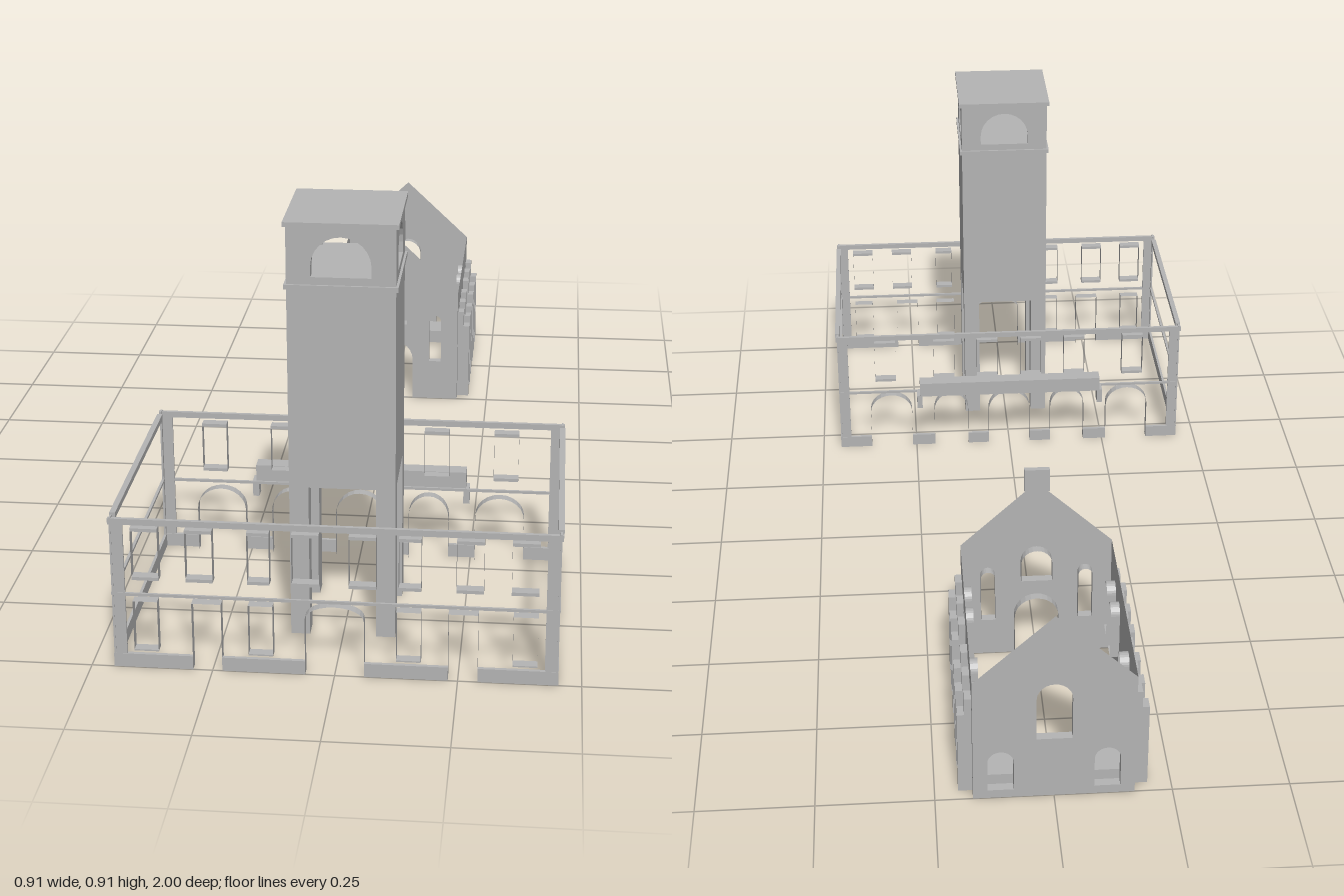
import * as THREE from 'three';

const stone = new THREE.MeshStandardMaterial({ color: 0xb4b4b4 });
stone.name = 'stone';
const thinStone = new THREE.MeshStandardMaterial({ color: 0xb4b4b4, side: THREE.DoubleSide });
thinStone.name = 'stone sheet';

function add(parent, name, geometry, material = stone) {
  const mesh = new THREE.Mesh(geometry, material);
  mesh.name = name;
  parent.add(mesh);
  return mesh;
}

// box given by its limits
function box(parent, name, x0, x1, y0, y1, z0, z1) {
  const mesh = add(parent, name, new THREE.BoxGeometry(x1 - x0, y1 - y0, z1 - z0));
  mesh.position.set((x0 + x1) / 2, (y0 + y1) / 2, (z0 + z1) / 2);
  return mesh;
}

// outline of an opening; rise is the height of its arched head
function outline({ x, y, w, h, rise = w / 2 }) {
  const pts = [new THREE.Vector2(x - w / 2, y), new THREE.Vector2(x + w / 2, y)];
  const n = rise ? 12 : 1;
  for (let i = 0; i <= n; i++) {
    const a = Math.PI * i / n;
    pts.push(new THREE.Vector2(x + w / 2 * Math.cos(a), y + h - rise + rise * Math.sin(a)));
  }
  return pts;
}

// inner faces of an opening, running back from z = 0
function reveal(parent, name, opening, depth, openFoot = false) {
  const pts = outline(opening);
  const pos = [];
  for (let i = openFoot ? 1 : 0; i < pts.length; i++) {
    const a = pts[i], b = pts[(i + 1) % pts.length];
    if (openFoot && i === pts.length - 1 && a.y === b.y) continue;
    pos.push(a.x, a.y, 0, b.x, b.y, 0, b.x, b.y, -depth);
    pos.push(a.x, a.y, 0, b.x, b.y, -depth, a.x, a.y, -depth);
  }
  const geo = new THREE.BufferGeometry();
  geo.setAttribute('position', new THREE.Float32BufferAttribute(pos, 3));
  geo.computeVertexNormals();
  return add(parent, name, geo, thinStone);
}

// wall sheet with openings and their reveals
function wall(parent, name, corners, openings, depth = 0.02) {
  const group = new THREE.Group();
  group.name = name;
  parent.add(group);
  const shape = new THREE.Shape(corners.map(c => new THREE.Vector2(...c)));
  for (const o of openings) shape.holes.push(new THREE.Path(outline(o)));
  add(group, name + 'Face', new THREE.ShapeGeometry(shape), thinStone);
  for (const o of openings) reveal(group, 'reveal', o, depth, o.y < 0.01);
  return group;
}

const rect = (w, y0, y1) => [[-w, y0], [w, y0], [w, y1], [-w, y1]];

function buildChapel() {
  const chapel = new THREE.Group();
  chapel.name = 'chapel';
  const gable = [[-0.17, 0], [0.17, 0], [0.17, 0.3], [0, 0.46], [-0.17, 0.3]];
  wall(chapel, 'frontGable', gable, [
    { x: 0, y: 0.001, w: 0.1, h: 0.16 },
    { x: 0, y: 0.21, w: 0.07, h: 0.08 },
    { x: -0.11, y: 0.107, w: 0.032, h: 0.13 },
    { x: 0.11, y: 0.107, w: 0.032, h: 0.13 }
  ]).position.z = -0.5;
  const back = wall(chapel, 'backGable', gable, [
    { x: 0, y: 0.15, w: 0.075, h: 0.14 },
    { x: -0.112, y: 0.02, w: 0.055, h: 0.1 },
    { x: 0.112, y: 0.02, w: 0.055, h: 0.1 }
  ]);
  back.position.z = -1;
  back.rotation.y = Math.PI;

  // side walls with paired windows, door and stepped buttresses
  const windows = [-0.17, -0.09, 0.09, 0.17].map(x => ({ x, y: 0.11, w: 0.042, h: 0.13 }));
  for (const s of [-1, 1]) {
    const side = wall(chapel, 'sideWall', rect(0.25, 0, 0.3),
      [...windows, { x: 0, y: 0.001, w: 0.062, h: 0.12 }]);
    side.position.set(s * 0.17, 0, -0.75);
    side.rotation.y = s * Math.PI / 2;
    for (const x of [-0.208, -0.128, -0.05, 0.05, 0.128, 0.208]) {
      box(side, 'buttress', x - 0.015, x + 0.015, 0, 0.2, 0, 0.03);
      box(side, 'buttressTop', x - 0.015, x + 0.015, 0.2, 0.24, 0, 0.015);
    }
  }
  box(chapel, 'altarStep', -0.15, 0.15, 0.01, 0.045, -0.98, -0.9);
  box(chapel, 'bellStone', -0.028, 0.028, 0.445, 0.5, -0.515, -0.503);
  return chapel;
}

function buildTower() {
  const tower = new THREE.Group();
  tower.name = 'tower';
  tower.position.z = 0.718;
  for (const x of [-1, 1]) for (const z of [-1, 1]) {
    box(tower, 'leg', x * 0.09 - 0.02, x * 0.09 + 0.02, 0, 0.338, z * 0.0925 - 0.02, z * 0.0925 + 0.02);
  }
  box(tower, 'shaft', -0.11, 0.11, 0.338, 0.79, -0.1125, 0.1125);
  box(tower, 'stringCourse', -0.115, 0.115, 0.77, 0.78, -0.1175, 0.1175);
  // belfry with an arch on every side
  for (let i = 0; i < 4; i++) {
    const face = wall(tower, 'belfryWall', rect(i % 2 ? 0.1125 : 0.11, 0.79, 0.9),
      [{ x: 0, y: 0.796, w: 0.122, h: 0.084 }]);
    const out = i % 2 ? 0.11 : 0.1125, a = i * Math.PI / 2;
    face.position.set(Math.sin(a) * out, 0, Math.cos(a) * out);
    face.rotation.y = a;
  }
  box(tower, 'roofSlab', -0.116, 0.116, 0.9, 0.91, -0.1175, 0.1175);
  return tower;
}

function buildHall() {
  const hall = new THREE.Group();
  hall.name = 'hall';

  // long sides: bands, corner posts and plinth blocks
  const facade = (name, z, turn, plinths) => {
    const g = new THREE.Group();
    g.name = name;
    g.position.z = z;
    g.rotation.y = turn;
    hall.add(g);
    box(g, 'cornice', -0.455, 0.455, 0.32, 0.333, -0.008, 0);
    box(g, 'floorBand', -0.45, 0.45, 0.162, 0.168, -0.005, 0);
    for (const s of [-1, 1]) {
      box(g, 'cornerPost', s * 0.4375 - 0.0125, s * 0.4375 + 0.0125, 0, 0.32, -0.006, -0.001);
      for (const [a, b] of plinths) {
        const c = s * (a + b) / 2, w = (b - a) / 2;
        box(g, 'plinth', c - w, c + w, 0, 0.03, -0.008, 0);
      }
    }
    return g;
  };
  const openings = (g, list, y, h, rise, bars) => {
    for (const [a, b] of list) for (const s of [-1, 1]) {
      const x = s * (a + b) / 2, w = b - a;
      reveal(g, 'windowReveal', { x, y, w, h, rise }, 0.022, y < 0.01);
      if (!bars) continue;
      box(g, 'sill', x - w / 2, x + w / 2, y - 0.004, y + 0.003, -0.022, 0);
      box(g, 'lintel', x - w / 2, x + w / 2, y + h - 0.004, y + h + 0.003, -0.022, 0);
    }
  };

  const front = facade('frontFacade', 1, 0, [[0.06, 0.23], [0.29, 0.45]]);
  openings(front, [[0.355, 0.41], [0.245, 0.3], [0.13, 0.175], [0.03, 0.085]], 0.202, 0.108, 0, true);
  openings(front, [[0.36, 0.41], [0.125, 0.175]], 0.04, 0.11, 0, false);
  openings(front, [[0.23, 0.29]], 0, 0.15, 0, false);
  reveal(front, 'mainDoorReveal', { x: 0, y: 0, w: 0.12, h: 0.155, rise: 0.03 }, 0.022, true);
  for (const x of [-0.385, -0.15, 0.15, 0.385]) {
    box(front, 'lowerSill', x - 0.025, x + 0.025, 0.038, 0.041, -0.022, 0);
  }

  const back = facade('backFacade', 0.437, Math.PI, [[0.055, 0.11], [0.2, 0.26], [0.37, 0.45]]);
  openings(back, [[0.3, 0.355], [0.145, 0.2], [0.03, 0.085]], 0.202, 0.108, 0, true);
  openings(back, [[0.26, 0.37], [0.11, 0.2]], 0, 0.155, 0.05, false);
  reveal(back, 'archReveal', { x: 0, y: 0, w: 0.11, h: 0.155 }, 0.022, true);

  // balcony on two brackets
  box(back, 'balcony', -0.238, 0.238, 0.168, 0.206, 0, 0.035);
  for (const s of [-1, 1]) {
    box(back, 'bracket', s * 0.239 - 0.007, s * 0.239 + 0.007, 0.13, 0.168, 0, 0.03);
  }

  // open end frames
  for (const s of [-1, 1]) {
    const strip = (name, y0, y1, z0, z1, d) =>
      box(hall, name, s * 0.45 - d, s * 0.45 + d, y0, y1, z0, z1);
    strip('endCornice', 0.32, 0.333, 0.46, 0.972, 0.006);
    strip('endFloorBand', 0.163, 0.169, 0.44, 1, 0.003);
    strip('endPlinth', 0, 0.03, 0.44, 1, 0.003);
    strip('endPost', 0, 0.335, 0.437, 0.452, 0.002);
    strip('endPost', 0, 0.335, 0.985, 1, 0.002);
  }
  return hall;
}

export function createModel() {
  const model = new THREE.Group();
  model.name = 'chapelAndTower';
  model.add(buildChapel(), buildTower(), buildHall());
  return model;
}
